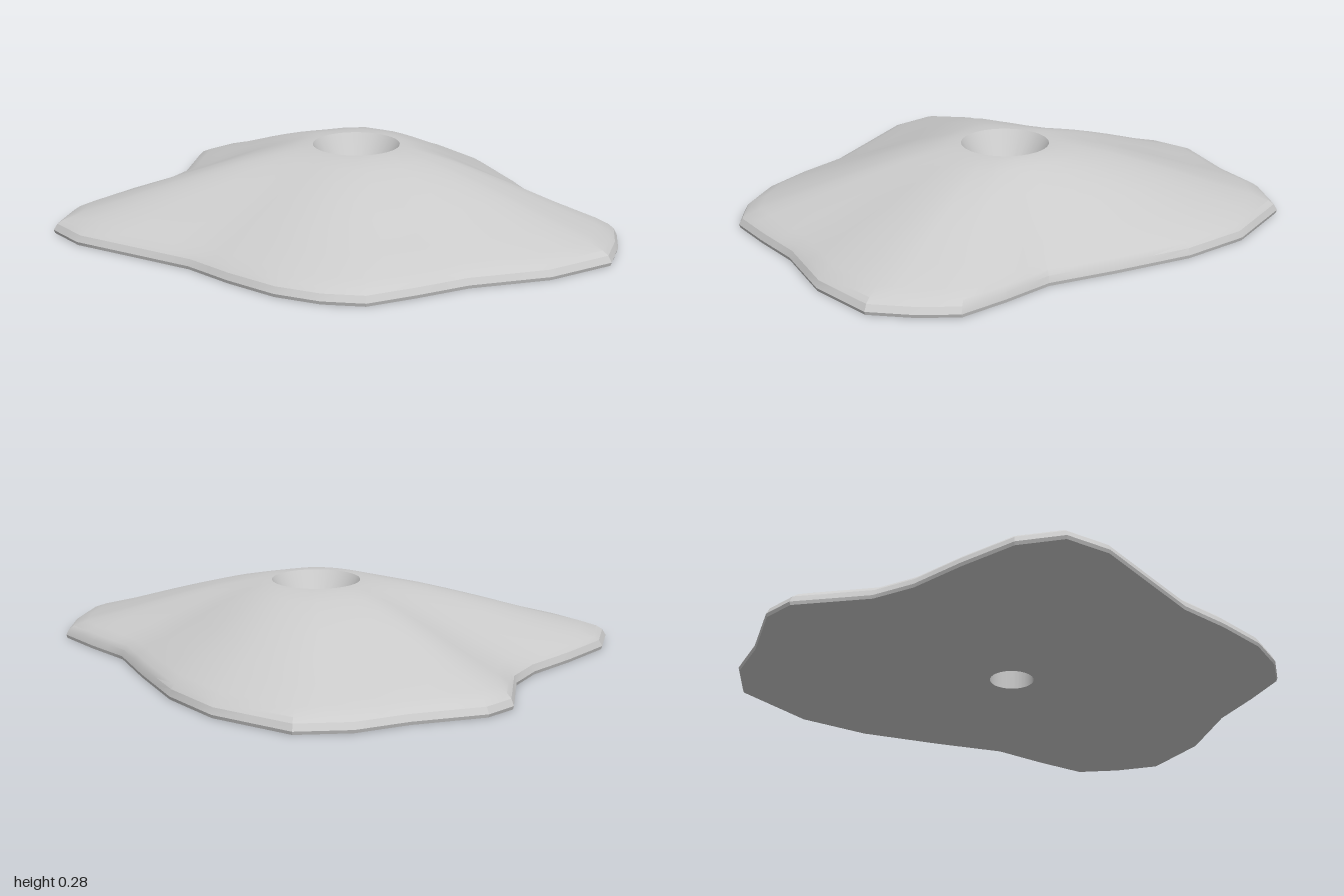
import * as THREE from 'three';
import { toCreasedNormals } from 'three/addons/utils/BufferGeometryUtils.js';

// bolt hole centre and radii
const CX = -0.03, CZ = -0.065, RIM = 0.16, BORE = 0.08;

// base outline (x, z), walked around the hole
const OUTLINE = [
  [-1, -0.26], [-0.87, -0.5], [-0.8, -0.69], [-0.67, -0.84], [-0.35, -0.89], [-0.09, -0.84],
  [0.19, -0.72], [0.42, -0.61], [0.62, -0.585], [0.81, -0.55], [0.91, -0.43], [0.99, -0.29],
  [0.94, -0.03], [0.8, 0.23], [0.74, 0.43], [0.68, 0.6], [0.56, 0.69], [0.4, 0.75],
  [0.19, 0.77], [-0.01, 0.77], [-0.23, 0.82], [-0.49, 0.88], [-0.66, 0.855], [-0.75, 0.71],
  [-0.775, 0.48], [-0.785, 0.26], [-0.83, 0.1], [-1, -0.13],
];

// dome section: [share of the way from rim to outline, height]
const DOME = [
  [0, 0.28], [0.06, 0.277], [0.15, 0.262], [0.27, 0.238], [0.4, 0.205], [0.53, 0.17],
  [0.75, 0.108], [0.9, 0.07], [0.96, 0.05], [0.985, 0.035], [1, 0.012], [0.995, 0],
];

// bolt hole section from the base up to the rim: [radius, height]
const HOLE = [[BORE, 0], [BORE, 0.14], [RIM, 0.28]];

function holdGeometry() {
  // split every outline edge so the hole is round
  const edge = [];
  OUTLINE.forEach(([x, z], i) => {
    const [nx, nz] = OUTLINE[(i + 1) % OUTLINE.length];
    for (const t of [0, 0.5]) edge.push([x + (nx - x) * t, z + (nz - z) * t]);
  });
  const n = edge.length;
  const positions = [], index = [];

  const circlePoint = ([x, z], r) => {
    const a = Math.atan2(z - CZ, x - CX);
    return [CX + r * Math.cos(a), CZ + r * Math.sin(a)];
  };

  // rings down the dome, then across the base and up the hole
  for (const [t, y] of DOME) {
    for (const p of edge) {
      const [hx, hz] = circlePoint(p, RIM);
      positions.push(hx + (p[0] - hx) * t, y, hz + (p[1] - hz) * t);
    }
  }
  for (const [r, y] of HOLE) {
    for (const p of edge) {
      const [x, z] = circlePoint(p, r);
      positions.push(x, y, z);
    }
  }

  // join neighbouring rings
  const rings = DOME.length + HOLE.length;
  for (let i = 0; i < rings - 1; i++) {
    for (let j = 0; j < n; j++) {
      const k = (j + 1) % n;
      const a = i * n + j, b = a + n, d = i * n + k, c = d + n;
      index.push(a, c, b, a, d, c);
    }
  }

  const geometry = new THREE.BufferGeometry();
  geometry.setAttribute('position', new THREE.Float32BufferAttribute(positions, 3));
  geometry.setIndex(index);
  return toCreasedNormals(geometry, 0.4);
}

export function createModel() {
  const group = new THREE.Group();
  group.name = 'climbingHold';
  const body = new THREE.Mesh(holdGeometry(), new THREE.MeshStandardMaterial({ color: 0xcccccc }));
  body.name = 'holdBody';
  group.add(body);
  return group;
}
